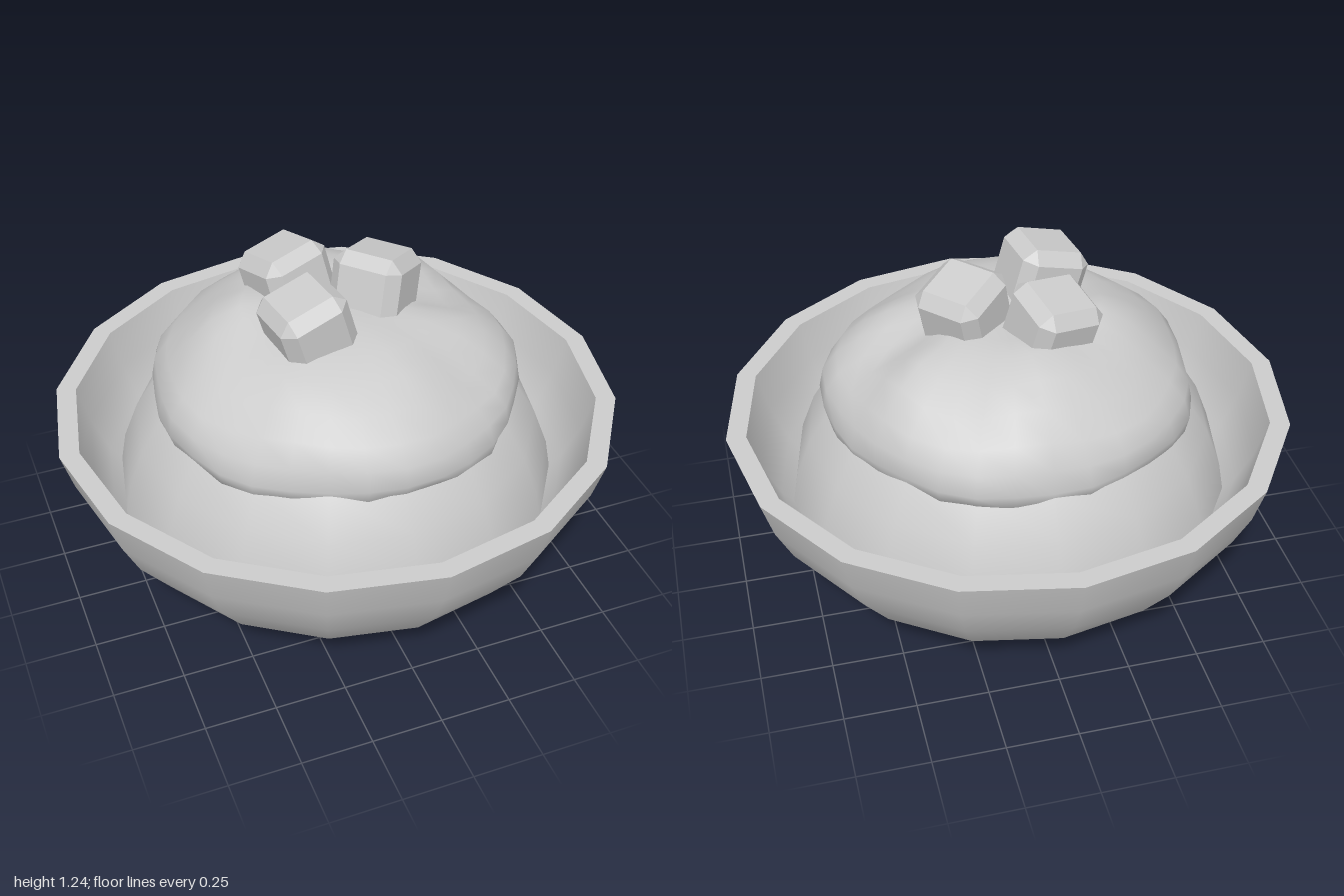
import * as THREE from 'three';
import { mergeGeometries, mergeVertices } from 'three/addons/utils/BufferGeometryUtils.js';
import { ConvexGeometry } from 'three/addons/geometries/ConvexGeometry.js';

const smooth = new THREE.MeshStandardMaterial({ color: 0xcccccc });
const faceted = new THREE.MeshStandardMaterial({ color: 0xcccccc, flatShading: true });

function lathe(points, sides) {
  return new THREE.LatheGeometry(points.map(([r, y]) => new THREE.Vector2(r, y)), sides);
}

function addMesh(group, name, geometry, material) {
  const mesh = new THREE.Mesh(geometry, material);
  mesh.name = name;
  group.add(mesh);
  return mesh;
}

// Outer wall, flat rim and inner wall, kept separate so the rim stays sharp
function bowlGeometry() {
  const outer = [[0, 0.005], [0.3, 0.03], [0.6, 0.115], [0.78, 0.235], [0.9, 0.4], [0.96, 0.53], [1, 0.67]];
  const inner = [[0.93, 0.67], [0.89, 0.53], [0.83, 0.4], [0.71, 0.265], [0.54, 0.165], [0.27, 0.09], [0, 0.07]];
  const rim = [[1, 0.67], [0.93, 0.67]];
  return mergeGeometries([outer, rim, inner].map((p) => lathe(p, 16)));
}

// Round filling: the upper part of a sphere
function fillingGeometry() {
  const points = [];
  for (let i = 0; i <= 8; i++) {
    const a = THREE.MathUtils.lerp(0.09, Math.PI / 2, i / 8);
    points.push([0.8 * Math.cos(a), 0.25 + 0.8 * Math.sin(a)]);
  }
  points[8][0] = 0;
  return lathe(points, 16);
}

// Lumpy cap: a lathed profile pushed about by waves and a few dents and bumps
function toppingGeometry() {
  const profile = [[0.58, 0.69], [0.635, 0.69], [0.65, 0.75], [0.635, 0.82], [0.59, 0.885], [0.51, 0.955],
    [0.42, 1.015], [0.32, 1.05], [0.21, 1.06], [0.1, 1.06], [0, 1.06]];
  const lumps = [ // x, z, height, width
    [0.38, -0.03, -0.07, 0.12], [0.32, 0.36, -0.05, 0.15], [0.42, -0.25, 0.04, 0.12],
    [-0.32, -0.1, 0.03, 0.14], [-0.05, -0.3, 0.03, 0.13], [-0.3, 0.5, 0.03, 0.12], [0.05, -0.55, 0.04, 0.13],
  ];
  const geometry = lathe(profile, 32);
  geometry.deleteAttribute('normal');
  geometry.deleteAttribute('uv');
  const p = geometry.attributes.position;
  for (let i = 0; i < p.count; i++) {
    const x = p.getX(i), y = p.getY(i), z = p.getZ(i);
    const a = Math.atan2(x, z);
    const r = Math.hypot(x, z);
    const swell = 1 + 0.012 * Math.sin(5 * a + 9 * y) + 0.01 * Math.sin(9 * a - 14 * y);
    let dy = 0.008 * Math.sin(11 * x + 2) * Math.sin(12 * z);
    if (y < 0.7) dy = 0.009 * Math.sin(10 * a) + 0.006 * Math.sin(7 * a + 1);
    else for (const [lx, lz, h, w] of lumps) {
      dy += h * Math.exp(-((x - lx) ** 2 + (z - lz) ** 2) / (w * w)) * Math.min(1, (y - 0.7) / 0.2);
    }
    p.setXYZ(i, x * (r > 0.1 ? swell : 1), y + dy, z * (r > 0.1 ? swell : 1));
  }
  const merged = mergeVertices(geometry, 1e-4);
  merged.computeVertexNormals();
  return merged;
}

// Cube with chamfered edges and corners
function cubeGeometry(half, flat) {
  const points = [];
  for (const sx of [-1, 1]) for (const sy of [-1, 1]) for (const sz of [-1, 1]) {
    points.push(
      new THREE.Vector3(sx * half, sy * flat, sz * flat),
      new THREE.Vector3(sx * flat, sy * half, sz * flat),
      new THREE.Vector3(sx * flat, sy * flat, sz * half));
  }
  return new ConvexGeometry(points);
}

export function createModel() {
  const model = new THREE.Group();
  model.name = 'dessertBowl';
  addMesh(model, 'bowl', bowlGeometry(), smooth);
  addMesh(model, 'filling', fillingGeometry(), smooth);
  addMesh(model, 'topping', toppingGeometry(), smooth);

  // Three tilted cubes on top
  const cube = cubeGeometry(0.127, 0.085);
  const cubes = [
    ['frontCube', [-0.15, 1.095, 0.14], [0, 0.15, 0.28]],
    ['backCube', [-0.11, 1.085, -0.17], [-0.22, 0.28, 0.15]],
    ['leftCube', [0.155, 1.09, -0.02], [0, 0.75, -0.25]],
  ];
  for (const [name, position, rotation] of cubes) {
    const mesh = addMesh(model, name, cube, faceted);
    mesh.position.set(...position);
    mesh.rotation.set(...rotation, 'YXZ');
  }
  return model;
}
